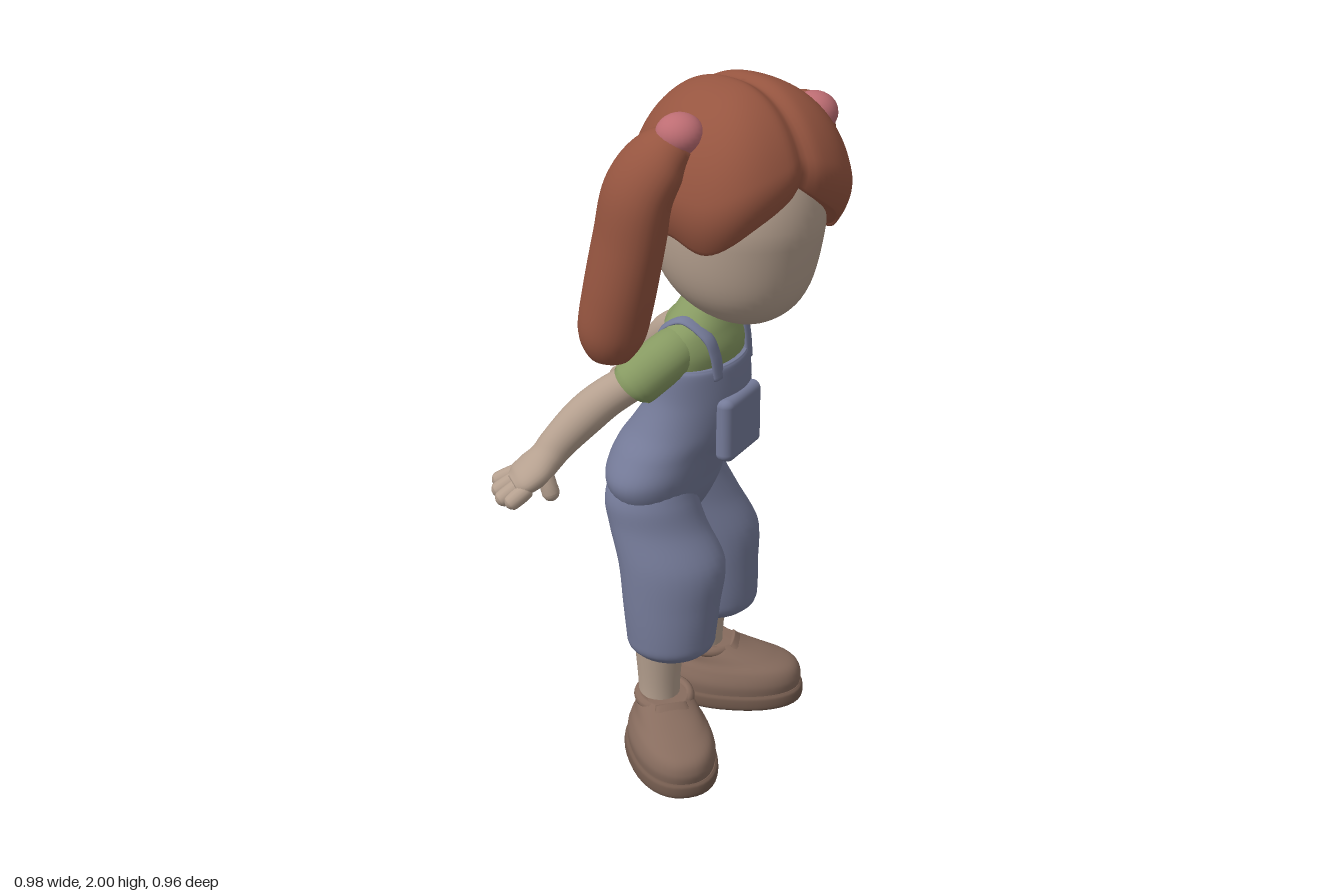
import * as THREE from 'three';
import { ParametricGeometry } from 'three/addons/geometries/ParametricGeometry.js';
import { RoundedBoxGeometry } from 'three/addons/geometries/RoundedBoxGeometry.js';
import { mergeVertices } from 'three/addons/utils/BufferGeometryUtils.js';

const V = (x, y, z) => new THREE.Vector3(x, y, z);
const mat = (color) => new THREE.MeshStandardMaterial({ color });
const skin = mat(0xb5a08f), hairMat = mat(0x965540), shirtMat = mat(0x879a62);
const denim = mat(0x757b99), shoeMat = mat(0x876c5e), soleMat = mat(0x735b4e), tieMat = mat(0xbd6d73);

function add(parent, name, geometry, material, pos = [0, 0, 0]) {
  const m = new THREE.Mesh(geometry, material);
  m.name = name;
  m.position.set(...pos);
  parent.add(m);
  return m;
}

// Smooth surface from a rule; welding removes the seam
function surface(fn, nu, nv) {
  const g = new ParametricGeometry(fn, nu, nv);
  g.deleteAttribute('normal');
  g.deleteAttribute('uv');
  const w = mergeVertices(g, 1e-5);
  w.computeVertexNormals();
  return w;
}

// Skin over elliptical rings. Keys: [x, y, z, halfWidth, halfDepth].
// With yaw the rings stay level; with hub they stand square to the path and face away from hub.
function loft(keys, { yaw = null, hub = V(0, -20, 0), sides = 28, power = 1 } = {}) {
  const first = keys[0], last = keys[keys.length - 1];
  const path = new THREE.CatmullRomCurve3(keys.map((k) => V(k[0], k[1], k[2])), false, 'catmullrom', 0.5);
  const size = new THREE.CatmullRomCurve3(keys.map((k) => V(k[3], k[4] ?? k[3], 0)), false, 'catmullrom', 0.5);
  const rows = (keys.length + 1) * 6;
  return surface((u, v, out) => {
    const row = v * rows, s = THREE.MathUtils.clamp((row - 1) / (rows - 2), 0, 1);
    const end = row < 0.5 || row > rows - 0.5 ? 0 : 1;
    const p = path.getPoint(s), r = size.getPoint(s), a = u * Math.PI * 2;
    let t, e1;
    if (yaw !== null) {
      t = V(0, Math.sign(last[1] - first[1]), 0);
      e1 = V(Math.cos(yaw), 0, -Math.sin(yaw));
    } else {
      t = path.getTangent(s);
      e1 = t.clone().cross(p.clone().sub(hub)).normalize();
    }
    const e2 = e1.clone().cross(t);
    const bend = (c) => Math.sign(c) * Math.pow(Math.abs(c), power);
    out.copy(p).addScaledVector(e1, bend(Math.sin(a)) * r.x * end).addScaledVector(e2, bend(Math.cos(a)) * r.y * end);
  }, sides, rows);
}

// Finger with rounded ends
function capsule(points, r) {
  const n = points.length - 1;
  const ext = (p, q, k) => p.map((c, i) => c + (c - q[i]) / Math.hypot(...p.map((d, j) => d - q[j])) * r * k);
  const a = points[0], b = points[n];
  return loft([[...ext(a, points[1], 0.55), r * 0.5], ...points.map((p) => [...p, r]),
    [...ext(b, points[n - 1], 0.55), r * 0.75], [...ext(b, points[n - 1], 0.85), r * 0.3]], { sides: 14 });
}

function buildHead() {
  const head = new THREE.Group();
  head.name = 'head';
  head.position.set(0.18, 1.67, 0.13);
  head.rotation.set(0, 0.61, -0.06);

  // Face: egg with full cheeks and the chin pushed forward
  const face = new THREE.SphereGeometry(1, 48, 36);
  const p = face.attributes.position;
  for (let i = 0; i < p.count; i++) {
    const y = p.getY(i), low = Math.max(0, -y), full = 1 + 0.22 * low * low * (1 - low ** 6);
    p.setXYZ(i, p.getX(i) * 0.234 * full * (1 - 0.08 * low), y * 0.28, p.getZ(i) * 0.25 * full * (1 - 0.14 * low) + 0.006 + 0.06 * low * low);
  }
  face.computeVertexNormals();
  add(head, 'face', face, skin, [0, -0.05, 0]);

  // Hair cap: two lobes with a parting and a curved hem that curls in underneath
  const hem = new THREE.CatmullRomCurve3(
    [0.09, 0.01, -0.075, -0.06, -0.12, -0.19, -0.22].map((y, i) => V(i, y, 0)), false, 'catmullrom', 0.5);
  add(head, 'hair', surface((u, v, out) => {
    const a = (u - 0.5) * Math.PI * 2, side = Math.abs(a);
    const edge = Math.acos(hem.getPoint(Math.min(1, side / Math.PI)).y / 0.33);
    const th = edge * (v < 0.1 ? 1 : (1 - v) / 0.9);
    const curl = v < 0.1 ? 0.78 + 0.1 * Math.sqrt(v / 0.1) : 1 - 0.12 * Math.max(0, 1 - (v - 0.1) / 0.2) ** 2;
    const wide = Math.sin(th) ** 0.88, x = wide * Math.sin(a), z = wide * Math.cos(a);
    const lobe = 1 + 0.125 * Math.exp(-(((side - 0.8) / 0.5) ** 2)) * Math.sin(th) ** 2;
    const k = lobe * (1.01 - 0.05 * Math.exp(-((x / 0.1) ** 2)));
    out.set(x * 0.268 * k * curl, Math.cos(th) * 0.333 * (v < 0.1 ? 1 : k), z * (z < 0 ? 0.308 : 0.285) * k * curl);
  }, 96, 60), hairMat);
  return head;
}

function buildShoe(name, x, y, z, yaw, tilt) {
  const shoe = new THREE.Group();
  shoe.name = name;
  shoe.position.set(x, y, z);
  shoe.rotation.set(tilt, yaw, 0, 'YXZ');
  add(shoe, 'sole', loft([[0, 0, 0, 0.11, 0.183], [0, 0.012, 0, 0.123, 0.198], [0, 0.04, 0, 0.123, 0.198], [0, 0.05, 0, 0.115, 0.19]],
    { yaw: 0, power: 0.88, sides: 40 }), soleMat);
  add(shoe, 'upper', loft([[0, 0.04, 0, 0.113, 0.188], [0, 0.08, 0, 0.117, 0.192], [0, 0.115, -0.005, 0.107, 0.178],
    [0, 0.14, -0.03, 0.092, 0.142], [0, 0.165, -0.065, 0.08, 0.105], [0, 0.185, -0.08, 0.062, 0.075]],
    { yaw: 0, power: 0.92, sides: 40 }), shoeMat);
  const collar = add(shoe, 'collar', new THREE.TorusGeometry(0.07, 0.017, 10, 32), shoeMat, [0, 0.172, -0.085]);
  collar.rotation.x = Math.PI / 2 + 0.1;
  // Tongue flap over the instep
  add(shoe, 'tongue', loft([[0, 0.125, 0.06, 0.045, 0.012], [0, 0.155, 0.015, 0.055, 0.014], [0, 0.185, -0.015, 0.045, 0.012]],
    { sides: 16 }), shoeMat);
  return shoe;
}

export function createModel() {
  const girl = new THREE.Group();
  girl.name = 'girl';
  const facing = 0.96;

  // Head, neck and pigtails
  girl.add(buildHead());
  add(girl, 'neck', loft([[0.11, 1.3, 0.07, 0.06], [0.12, 1.4, 0.075, 0.058], [0.14, 1.52, 0.1, 0.065]], { yaw: facing }), skin);
  const hub = V(0.18, 1.6, 0.13);
  const tails = {
    right: [[0.02, 1.885, 0.28, 0.05], [-0.035, 1.835, 0.275, 0.095, 0.075], [-0.09, 1.74, 0.262, 0.114, 0.087], [-0.115, 1.6, 0.245, 0.115, 0.09],
      [-0.142, 1.44, 0.227, 0.108, 0.094], [-0.16, 1.33, 0.213, 0.096, 0.09], [-0.167, 1.265, 0.208, 0.066, 0.06], [-0.168, 1.243, 0.208, 0.025]],
    left: [[0.41, 1.865, 0.02, 0.05], [0.39, 1.825, -0.035, 0.095, 0.075], [0.36, 1.73, -0.075, 0.114, 0.087], [0.332, 1.6, -0.1, 0.115, 0.09],
      [0.298, 1.42, -0.13, 0.108, 0.094], [0.273, 1.3, -0.148, 0.096, 0.088], [0.265, 1.24, -0.154, 0.066, 0.06], [0.262, 1.22, -0.156, 0.025]],
  };
  for (const side in tails) {
    add(girl, side + 'Pigtail', loft(tails[side], { hub }), hairMat);
    const tie = add(girl, side + 'HairTie', new THREE.SphereGeometry(0.06, 24, 18), tieMat,
      side === 'right' ? [0.015, 1.9, 0.275] : [0.402, 1.87, 0.037]);
    tie.scale.set(1.08, 0.95, 1.05);
  }

  // Torso clothing
  add(girl, 'shirt', loft([[0.105, 1.12, 0.085, 0.14, 0.075], [0.105, 1.19, 0.09, 0.155, 0.09], [0.103, 1.25, 0.09, 0.164, 0.1],
    [0.1, 1.305, 0.085, 0.152, 0.089], [0.104, 1.345, 0.079, 0.105, 0.073], [0.11, 1.375, 0.076, 0.064, 0.06]], { yaw: facing }), shirtMat);
  add(girl, 'overalls', loft([[0.02, 0.7, 0.08, 0.04, 0.04], [0.01, 0.75, 0.062, 0.155, 0.095], [0.005, 0.81, 0.057, 0.21, 0.13],
    [0.005, 0.87, 0.057, 0.23, 0.148], [0.028, 0.94, 0.06, 0.209, 0.153], [0.068, 1.01, 0.07, 0.187, 0.149], [0.099, 1.1, 0.086, 0.171, 0.128],
    [0.107, 1.19, 0.093, 0.168, 0.11], [0.107, 1.212, 0.093, 0.16, 0.102]], { yaw: facing, sides: 40 }), denim);

  // Bib pocket and shoulder straps
  const bib = new THREE.Group();
  bib.name = 'bibDetails';
  bib.position.set(0.1, 0, 0.085);
  bib.rotation.y = facing;
  girl.add(bib);
  const pocket = new RoundedBoxGeometry(0.195, 0.185, 0.05, 5, 0.022);
  const pp = pocket.attributes.position;
  for (let i = 0; i < pp.count; i++) pp.setZ(i, pp.getZ(i) - 1.8 * pp.getX(i) ** 2);
  add(bib, 'pocket', pocket, denim, [-0.01, 1.03, 0.133]);
  for (const s of [-1, 1]) {
    const run = [[0.088, 1.18, 0.1], [0.093, 1.25, 0.09], [0.1, 1.302, 0.067], [0.103, 1.338, 0], [0.1, 1.302, -0.064],
      [0.093, 1.25, -0.078], [0.088, 1.18, -0.075]];
    add(bib, s > 0 ? 'leftStrap' : 'rightStrap',
      loft(run.map(([x, y, z]) => [s * x, y, z, 0.022, 0.008]), { hub: V(s * 0.07, 1.15, 0), sides: 14 }), denim);
  }

  // Trouser legs, ankles and shoes
  const legs = {
    right: { ankle: [-0.03, 0.2], trouser: [[-0.03, 0.93, 0.12, 0.05, 0.05], [-0.042, 0.88, 0.133, 0.105, 0.095], [-0.048, 0.81, 0.147, 0.129, 0.112],
      [-0.03, 0.73, 0.165, 0.137, 0.11], [0.006, 0.62, 0.196, 0.15, 0.117], [0.005, 0.5, 0.203, 0.138, 0.12], [0.004, 0.41, 0.203, 0.128, 0.122],
      [0.004, 0.37, 0.203, 0.122, 0.117], [0.004, 0.347, 0.203, 0.1, 0.096]] },
    left: { ankle: [0.125, -0.06], trouser: [[0.04, 0.93, 0, 0.05, 0.05], [0.05, 0.88, -0.018, 0.105, 0.095], [0.062, 0.81, -0.031, 0.122, 0.117],
      [0.09, 0.73, -0.033, 0.135, 0.117], [0.14, 0.62, -0.033, 0.14, 0.12], [0.15, 0.5, -0.034, 0.132, 0.121], [0.154, 0.41, -0.037, 0.128, 0.121],
      [0.154, 0.37, -0.04, 0.122, 0.117], [0.152, 0.347, -0.04, 0.1, 0.096]] },
  };
  for (const side in legs) {
    const { ankle: [x, z], trouser } = legs[side];
    add(girl, side + 'TrouserLeg', loft(trouser, { yaw: 0 }), denim);
    add(girl, side + 'Ankle', loft([[x, 0.14, z, 0.06], [x, 0.24, z, 0.06], [x, 0.4, z, 0.074]], { yaw: 0, sides: 20 }), skin);
  }
  girl.add(buildShoe('rightShoe', -0.005, 0.018, 0.28, 0.16, 0.07));
  girl.add(buildShoe('leftShoe', 0.225, 0.033, -0.05, 1.36, 0));

  // Sleeves, arms running into palms, and fingers
  const arms = {
    right: {
      sleeve: [[0.07, 1.265, 0.13, 0.06], [0.01, 1.25, 0.18, 0.068], [-0.05, 1.22, 0.215, 0.07], [-0.1, 1.192, 0.238, 0.07], [-0.108, 1.187, 0.241, 0.06]],
      arm: [[-0.07, 1.21, 0.23, 0.05], [-0.17, 1.158, 0.245, 0.054], [-0.24, 1.105, 0.255, 0.056], [-0.31, 1.04, 0.272, 0.05], [-0.345, 1.003, 0.287, 0.052, 0.044],
        [-0.38, 0.975, 0.302, 0.066, 0.042], [-0.415, 0.953, 0.312, 0.066, 0.036], [-0.438, 0.942, 0.317, 0.045, 0.022]],
      knuckles: [[-0.42, 0.955, 0.268], [-0.425, 0.95, 0.298], [-0.42, 0.943, 0.33], [-0.405, 0.94, 0.355]],
      tips: [[-0.472, 0.93, 0.262], [-0.475, 0.92, 0.303], [-0.467, 0.912, 0.34], [-0.443, 0.91, 0.36]],
      thumb: [[-0.355, 0.975, 0.322], [-0.343, 0.94, 0.333], [-0.337, 0.918, 0.335]],
    },
    left: {
      sleeve: [[0.14, 1.265, 0.03, 0.06], [0.125, 1.25, -0.03, 0.068], [0.105, 1.22, -0.09, 0.07], [0.085, 1.192, -0.14, 0.07], [0.082, 1.187, -0.148, 0.06]],
      arm: [[0.095, 1.21, -0.11, 0.05], [0.052, 1.158, -0.2, 0.054], [0.03, 1.105, -0.255, 0.056], [0.01, 1.038, -0.32, 0.05], [-0.004, 1.0, -0.35, 0.052, 0.044],
        [-0.02, 0.972, -0.382, 0.066, 0.042], [-0.035, 0.95, -0.412, 0.066, 0.036], [-0.043, 0.938, -0.432, 0.045, 0.022]],
      knuckles: [[-0.075, 0.947, -0.392], [-0.06, 0.947, -0.415], [-0.035, 0.943, -0.425], [-0.008, 0.94, -0.42]],
      tips: [[-0.092, 0.922, -0.425], [-0.072, 0.915, -0.456], [-0.04, 0.91, -0.462], [-0.012, 0.908, -0.45]],
      thumb: [[0.015, 0.97, -0.365], [0.04, 0.94, -0.395], [0.053, 0.92, -0.41]],
    },
  };
  for (const side in arms) {
    const a = arms[side];
    add(girl, side + 'Sleeve', loft(a.sleeve), shirtMat);
    add(girl, side + 'Arm', loft(a.arm), skin);
    a.knuckles.forEach((k, i) => add(girl, side + 'Finger' + (i + 1), capsule([k, a.tips[i]], 0.023), skin));
    add(girl, side + 'Thumb', capsule(a.thumb, 0.024), skin);
  }
  return girl;
}
